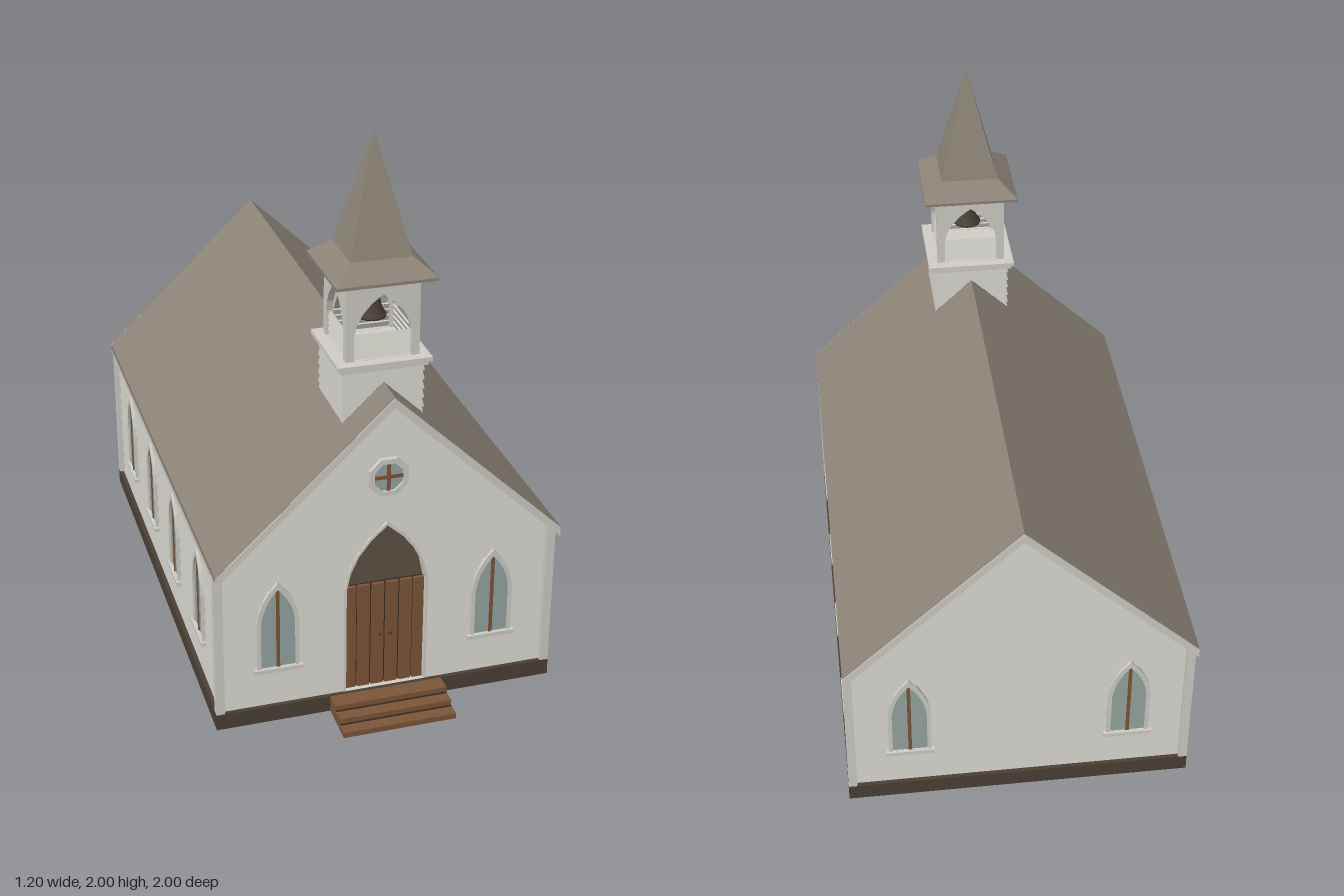
import * as THREE from 'three';

const mat = (name, color) => Object.assign(new THREE.MeshStandardMaterial({ color }), { name });

export function createModel() {
  const wall = mat('paintedBoards', 0xcfcdc6);
  const roof = mat('roofShingle', 0x8c8477);
  const wood = mat('wood', 0x7c5639);
  const darkWood = mat('darkWood', 0x3a2a1e);
  const stone = mat('foundation', 0x4b4135);
  const glass = mat('glass', 0x96a6a2);
  const iron = mat('bellMetal', 0x4a4039);
  const root = new THREE.Group();

  const add = (parent, name, geo, m, x = 0, y = 0, z = 0) => {
    const mesh = new THREE.Mesh(geo, m);
    mesh.name = name;
    mesh.position.set(x, y, z);
    parent.add(mesh);
    return mesh;
  };
  const group = (parent, name, x = 0, y = 0, z = 0, ry = 0) => {
    const g = new THREE.Group();
    g.name = name;
    g.position.set(x, y, z);
    g.rotation.y = ry;
    parent.add(g);
    return g;
  };
  // box given by its limits
  const box = (parent, name, m, x0, x1, y0, y1, z0, z1) =>
    add(parent, name, new THREE.BoxGeometry(x1 - x0, y1 - y0, z1 - z0), m,
      (x0 + x1) / 2, (y0 + y1) / 2, (z0 + z1) / 2);
  const extrude = (shape, depth, seg = 4) =>
    new THREE.ExtrudeGeometry(shape, { depth, bevelEnabled: false, curveSegments: seg });
  // square frustum from half widths, flat shaded
  const frustum = (parent, name, m, bottom, top, y0, y1) => {
    let g = new THREE.CylinderGeometry(top * Math.SQRT2, bottom * Math.SQRT2, y1 - y0, 4);
    g = g.rotateY(Math.PI / 4).toNonIndexed();
    g.computeVertexNormals();
    return add(parent, name, g, m, 0, (y0 + y1) / 2, 0);
  };
  // pointed arch outline
  const arch = (w, y0, spring, top, Type = THREE.Shape) => {
    const s = new Type(), c = spring + (top - spring) * 0.58;
    s.moveTo(-w, y0);
    s.lineTo(w, y0);
    s.lineTo(w, spring);
    s.quadraticCurveTo(w * 0.9, c, 0, top);
    s.quadraticCurveTo(-w * 0.9, c, -w, spring);
    s.lineTo(-w, y0);
    return s;
  };
  const polygon = (pts) => new THREE.Shape(pts.map(p => new THREE.Vector2(...p)));

  // overlapping boards: each leans out to a small ledge at its lower edge
  const siding = (outer, inner, y0, y1, rows, depth = 0.01) => {
    const pos = [], h = (y1 - y0) / rows;
    const quad = (a, b, c, d) => pos.push(...a, ...b, ...c, ...a, ...c, ...d);
    for (let i = 0; i < rows; i++) {
      const a = y0 + i * h, b = a + h;
      for (const [l0, r0, l1, r1] of [
        [inner(a), outer(a), inner(b), outer(b)],
        [-outer(a), -inner(a), -outer(b), -inner(b)]]) {
        quad([l0, a, depth], [r0, a, depth], [r1, b, 0], [l1, b, 0]);
        quad([l0, a, 0], [r0, a, 0], [r0, a, depth], [l0, a, depth]);
      }
    }
    const g = new THREE.BufferGeometry();
    g.setAttribute('position', new THREE.Float32BufferAttribute(pos, 3));
    g.computeVertexNormals();
    return g;
  };

  const archWindow = (parent, x) => {
    const w = group(parent, 'window', x);
    const ring = arch(0.073, 0.205, 0.39, 0.54);
    ring.holes.push(arch(0.06, 0.211, 0.38, 0.515, THREE.Path));
    add(w, 'windowFrame', extrude(ring, 0.018), wall);
    add(w, 'windowGlass', extrude(arch(0.061, 0.21, 0.38, 0.516), 0.003), glass, 0, 0, 0.009);
    box(w, 'windowMullion', wood, -0.006, 0.006, 0.21, 0.51, 0.009, 0.016);
    box(w, 'windowSill', wall, -0.085, 0.085, 0.195, 0.21, 0, 0.025);
  };

  // ---- main hall, centred on its own footprint ----
  const hall = group(root, 'hall', 0, 0, -0.06);
  box(hall, 'foundation', stone, -0.6, 0.6, 0, 0.06, -0.9, 0.9);

  const gableHalf = y => Math.max(0, Math.min(0.575, (1.16 - y) / 0.95));
  const doorW = 0.14, doorSpring = 0.465, doorTop = 0.695;
  const doorHalf = y => {
    if (y >= doorTop) return 0;
    const f = Math.max(0, (y - doorSpring) / (doorTop - doorSpring));
    const t = (1.16 - Math.sqrt(1.3456 - 0.64 * f)) / 0.32;
    return doorW * ((1 - t) ** 2 + 1.8 * t * (1 - t));
  };
  for (const front of [true, false]) {
    const end = group(hall, front ? 'frontWall' : 'backWall', 0, 0, front ? 0.875 : -0.875, front ? 0 : Math.PI);
    const s = polygon([[-0.575, 0.06], [0.575, 0.06], [0.575, 0.614], [0, 1.16], [-0.575, 0.614]]);
    if (front) s.holes.push(arch(doorW, 0.0605, doorSpring, doorTop, THREE.Path));
    add(end, 'gableWall', extrude(s, 0.03), wall, 0, 0, -0.03);
    add(end, 'gableSiding', siding(gableHalf, front ? doorHalf : () => 0, 0.06, 1.16, 22), wall);
    for (const x of [-0.38, 0.38]) archWindow(end, x);
    if (!front) continue;

    // door surround and double door
    const ring = arch(doorW + 0.008, 0.06, doorSpring, doorTop + 0.012);
    ring.holes.push(arch(doorW, 0.0605, doorSpring, doorTop, THREE.Path));
    add(end, 'doorSurround', extrude(ring, 0.012), wall);
    const door = group(end, 'doubleDoor');
    box(door, 'doorBacking', darkWood, -0.14, 0.14, 0.06, 0.463, -0.025, -0.012);
    for (const side of [-1, 1]) {
      for (const x of [0.025, 0.075, 0.12])
        add(door, 'doorPlank', new THREE.BoxGeometry(x > 0.1 ? 0.036 : 0.043, 0.403, 0.012), wood,
          side * x, 0.2635, -0.008);
      add(door, 'doorKnob', new THREE.SphereGeometry(0.007, 10, 8), iron, side * 0.018, 0.265, 0.003);
    }

    // round window
    const rose = group(end, 'roundWindow', 0, 0.88, 0);
    const octagon = r => Array.from({ length: 8 }, (_, i) => {
      const a = (i + 0.5) * Math.PI / 4;
      return new THREE.Vector2(r * Math.cos(a), r * Math.sin(a));
    });
    const frame = new THREE.Shape(octagon(0.073));
    frame.holes.push(new THREE.Path(octagon(0.054)));
    add(rose, 'roundFrame', extrude(frame, 0.02), wall);
    add(rose, 'roundGlass', extrude(new THREE.Shape(octagon(0.055)), 0.003), glass, 0, 0, 0.009);
    box(rose, 'roundMullion', wood, -0.006, 0.006, -0.052, 0.052, 0.009, 0.017);
    box(rose, 'roundMullion', wood, -0.052, 0.052, -0.006, 0.006, 0.009, 0.0165);
  }

  for (const side of [-1, 1]) {
    const w = group(hall, side > 0 ? 'leftWall' : 'rightWall', side * 0.575, 0, 0, side * Math.PI / 2);
    box(w, 'sideWall', wall, -0.875, 0.875, 0.06, 0.61, -0.03, 0);
    add(w, 'sideSiding', siding(() => 0.875, () => 0, 0.06, 0.61, 11), wall);
    box(w, 'eaveTrim', wall, -0.87, 0.87, 0.575, 0.602, 0, 0.024);
    for (const z of [0.6, 0.2, -0.2, -0.6]) archWindow(w, -side * z);
    for (const end of [-1, 1])
      box(hall, 'cornerBoard', wall, side * 0.585 - 0.015, side * 0.585 + 0.015, 0.06, 0.603,
        end * 0.885 - 0.015, end * 0.885 + 0.015);
  }

  // gabled roof with light boards along both ends
  const chevron = (w, ridge, eave, t) => polygon([[w, eave - t], [w, eave], [0, ridge], [-w, eave], [-w, eave - t], [0, ridge - t]]);
  add(root, 'mainRoof', extrude(chevron(0.6, 1.193, 0.622, 0.022), 1.872), roof, 0, 0, -0.996);
  for (const z of [0.868, -1])
    add(root, 'gableTrim', extrude(chevron(0.6, 1.19, 0.62, 0.034), 0.012), wall, 0, 0, z);

  // front steps
  [0.9, 0.95, 1].forEach((z, i) => {
    const top = 0.06 - i * 0.02;
    box(root, 'step', wood, -0.2, 0.2, 0, top, 0.841, z);
    if (i) box(root, 'stepJoint', darkWood, -0.199, 0.199, top, top + 0.002, z - 0.05, z - 0.043);
  });

  // ---- bell tower ----
  const tower = group(root, 'bellTower', 0, 0, 0.62);
  for (let i = 0; i < 6; i++)
    frustum(tower, 'towerBoard', wall, 0.14, 0.134, 1.052 + i * 0.033, 1.085 + i * 0.033);
  frustum(tower, 'towerLedge', wall, 0.15, 0.15, 1.24, 1.255);
  frustum(tower, 'towerLedge', wall, 0.16, 0.16, 1.255, 1.27);
  for (let i = 0; i < 4; i++) {
    const side = group(tower, 'belfrySide', 0, 0, 0, i * Math.PI / 2);
    const s = polygon([[-0.125, 1.27], [0.125, 1.27], [0.125, 1.545], [-0.125, 1.545]]);
    s.holes.push(arch(0.097, 1.271, 1.36, 1.495, THREE.Path));
    add(side, 'belfryWall', extrude(s, 0.022), wall, 0, 0, 0.103);
    for (let k = 0; k < 4; k++) {
      const slat = add(side, 'belfrySlat', new THREE.BoxGeometry(0.196, 0.023, 0.006), wall, 0, 1.282 + k * 0.021, 0.112);
      slat.rotation.x = -0.4;
    }
  }
  frustum(tower, 'spireEave', roof, 0.17, 0.17, 1.54, 1.55);
  frustum(tower, 'spireSkirt', roof, 0.17, 0.105, 1.55, 1.605);
  frustum(tower, 'spire', roof, 0.105, 0.0001, 1.6, 2);

  // bell on its beam
  const profile = [[0, 1.445], [0.044, 1.375], [0.05, 1.37], [0.05, 1.377], [0.037, 1.395], [0.029, 1.425],
    [0.026, 1.447], [0.014, 1.46], [0, 1.462]];
  const shell = new THREE.LatheGeometry(profile.map(p => new THREE.Vector2(...p)), 20);
  add(tower, 'bell', shell, iron);
  add(tower, 'bellHanger', new THREE.CylinderGeometry(0.006, 0.006, 0.085, 8), wood, 0, 1.5, 0);
  add(tower, 'bellClapper', new THREE.SphereGeometry(0.01, 10, 8), iron, 0, 1.367, 0);
  add(tower, 'clapperRod', new THREE.CylinderGeometry(0.003, 0.003, 0.08, 6), iron, 0, 1.405, 0);
  box(tower, 'bellBeam', wood, -0.104, 0.104, 1.508, 1.525, -0.01, 0.01);
  return root;
}
